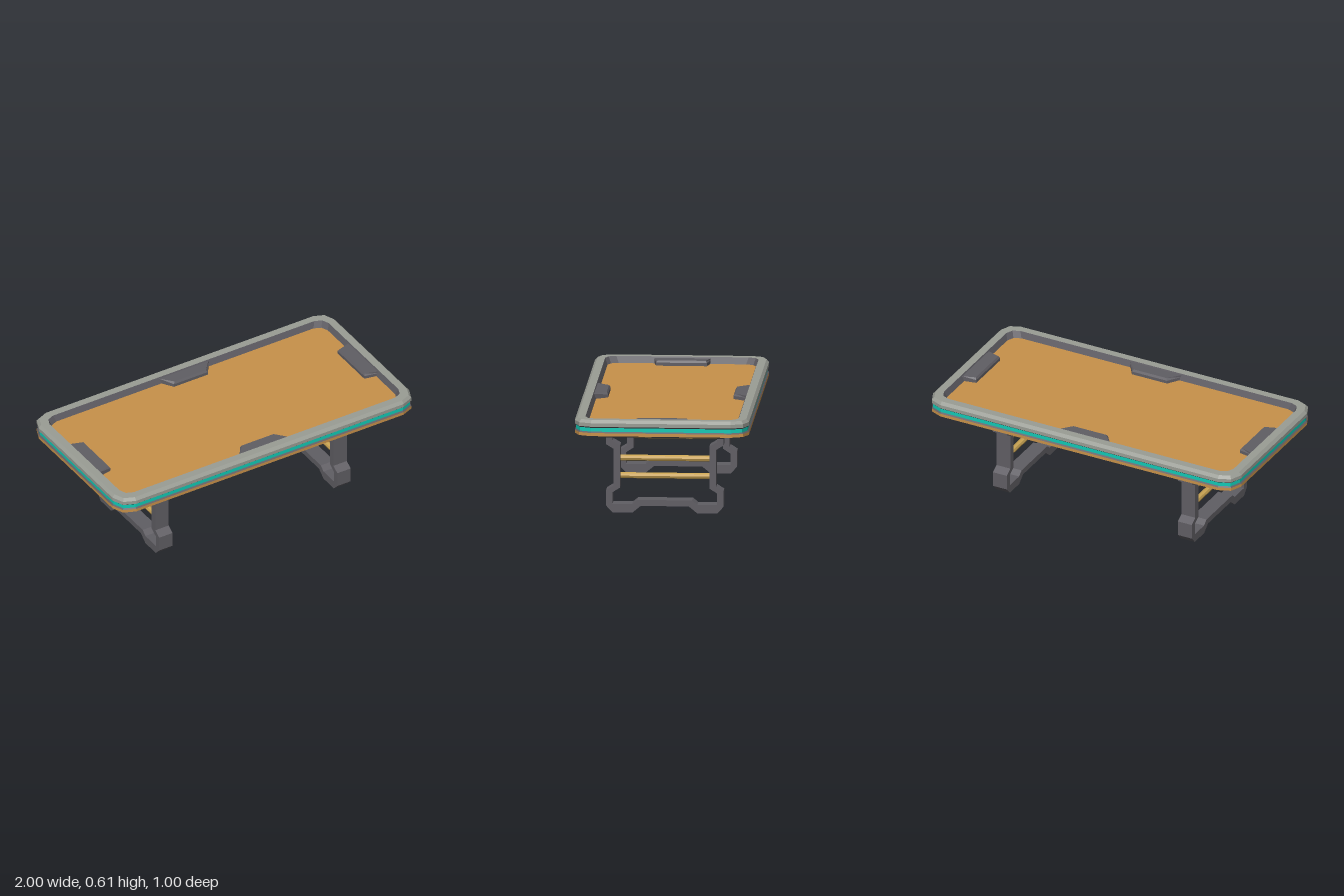
import * as THREE from 'three';

const mat = (name, color) => {
  const m = new THREE.MeshStandardMaterial({ color });
  m.name = name;
  return m;
};

// Rectangle with rounded corners (two facets each), as [x, z] points
function roundRect(hx, hz, r) {
  const pts = [];
  [[1, 1], [-1, 1], [-1, -1], [1, -1]].forEach(([sx, sz], q) => {
    const steps = r > 0 ? 2 : 0;
    for (let i = 0; i <= steps; i++) {
      const a = (q + (steps ? i / steps : 0)) * Math.PI / 2;
      pts.push([sx * (hx - r) + r * Math.cos(a), sz * (hz - r) + r * Math.sin(a)]);
    }
  });
  return pts;
}

// Flat-faced skin through stacked rings [{ y, pts }], with optional caps
function loft(rings, capStart, capEnd) {
  const pos = [];
  const put = (ring, i) => {
    const p = ring.pts[i % ring.pts.length];
    pos.push(p[0], ring.y, p[1]);
  };
  const n = rings[0].pts.length;
  for (let k = 0; k + 1 < rings.length; k++) {
    const a = rings[k], b = rings[k + 1];
    for (let i = 0; i < n; i++) {
      put(a, i); put(b, i + 1); put(a, i + 1);
      put(a, i); put(b, i); put(b, i + 1);
    }
  }
  const last = rings[rings.length - 1];
  for (let i = 1; i < n - 1; i++) {
    if (capStart) { put(rings[0], 0); put(rings[0], i); put(rings[0], i + 1); }
    if (capEnd) { put(last, 0); put(last, i + 1); put(last, i); }
  }
  const g = new THREE.BufferGeometry();
  g.setAttribute('position', new THREE.Float32BufferAttribute(pos, 3));
  g.computeVertexNormals();
  return g;
}

export function createModel() {
  const wood = mat('orange top', 0xc8914a);
  const grey = mat('light grey rim', 0x9a9d95);
  const dark = mat('dark grey metal', 0x605e64);
  const teal = mat('teal strip', 0x12c9b5);
  const gold = mat('gold rods', 0xc9a352);

  const model = new THREE.Group();
  model.name = 'table';
  const add = (name, geometry, material, parent = model) => {
    const mesh = new THREE.Mesh(geometry, material);
    mesh.name = name;
    parent.add(mesh);
    return mesh;
  };
  // Ring of the table edge, inset from the full outline
  const edge = (inset, y) => ({ y, pts: roundRect(1 - inset, 0.5 - inset, Math.max(0.06, 0.1 - inset)) });

  // Layered table top, from the bottom up
  add('lowerSlab', loft([edge(0, 0.513), edge(0, 0.531)], true, false), wood);
  add('lowerGroove', loft([edge(0, 0.531), edge(0.008, 0.538)]), dark);
  add('tealStrip', loft([edge(0.008, 0.538), edge(0.008, 0.56)]), teal);
  add('upperGroove', loft([edge(0.008, 0.56), edge(0, 0.567)]), dark);
  add('rim', loft([edge(0, 0.567), edge(0, 0.588), edge(0.015, 0.605), edge(0.06, 0.605)]), grey);
  add('innerWall', loft([edge(0.06, 0.605), edge(0.074, 0.567)]), dark);
  add('tableSurface', loft([edge(0.074, 0.567)], false, true), wood);

  // Tapered tray below the top
  add('underTray', loft([
    { y: 0.471, pts: roundRect(0.81, 0.345, 0) },
    { y: 0.514, pts: roundRect(0.89, 0.4, 0) },
  ], true, false), dark);

  // Trapezoid bumpers against the inner wall, one per side
  const bumper = (outer, inner, depth) => {
    const ring = (y, d) => ({
      y, pts: [[-outer, -0.012], [outer, -0.012], [inner + d, depth + d], [-inner - d, depth + d]],
    });
    return loft([ring(0.56, 0.004), ring(0.585, 0.004), ring(0.597, -0.004)], true, true);
  };
  for (const s of [1, -1]) {
    const long = add('longSideBumper', bumper(0.168, 0.11, 0.064), dark);
    long.position.z = -0.428 * s;
    long.rotation.y = s > 0 ? 0 : Math.PI;
    const short = add('shortSideBumper', bumper(0.162, 0.142, 0.066), dark);
    short.position.x = -0.925 * s;
    short.rotation.y = s * Math.PI / 2;
  }

  // Leg frame outline: outer and inner half, mirrored across z = 0
  const outer = [[0.337, 0.437], [0.337, 0.398], [0.295, 0.372], [0.295, 0.157], [0.337, 0.13],
    [0.337, 0.04], [0.3, 0], [0.187, 0], [0.138, 0.04]];
  const inner = [[0.3, 0.437], [0.3, 0.418], [0.256, 0.392], [0.256, 0.146], [0.3, 0.118],
    [0.3, 0.05], [0.187, 0.05], [0.157, 0.075]];
  const flip = (pts) => pts.map(([z, y]) => [-z, y]);
  const outline = [...outer, ...flip(outer).reverse(), ...flip(inner), ...[...inner].reverse()];
  const frameShape = new THREE.Shape(outline.map(([z, y]) => new THREE.Vector2(z, y)));
  const frameGeo = new THREE.ExtrudeGeometry(frameShape, { depth: 0.09, bevelEnabled: false });
  frameGeo.translate(0, 0, -0.045).rotateY(-Math.PI / 2);

  // Flared bracket joining each leg to the tray
  const bracketGeo = loft([
    { y: 0.437, pts: roundRect(0.045, 0.0185, 0) },
    { y: 0.462, pts: roundRect(0.083, 0.0185, 0) },
    { y: 0.474, pts: roundRect(0.083, 0.0185, 0) },
  ], false, true);

  const rodGeo = new THREE.CylinderGeometry(0.0175, 0.0175, 0.53, 8).toNonIndexed();
  rodGeo.rotateX(Math.PI / 2);
  rodGeo.computeVertexNormals();

  for (const s of [1, -1]) {
    const leg = new THREE.Group();
    leg.name = s > 0 ? 'leftLegs' : 'rightLegs';
    leg.position.x = 0.6 * s;
    model.add(leg);
    add('legFrame', frameGeo, dark, leg);
    for (const z of [0.3185, -0.3185]) add('legBracket', bracketGeo, dark, leg).position.z = z;
    for (const y of [0.313, 0.21]) add('crossRod', rodGeo, gold, leg).position.y = y;
  }
  return model;
}
